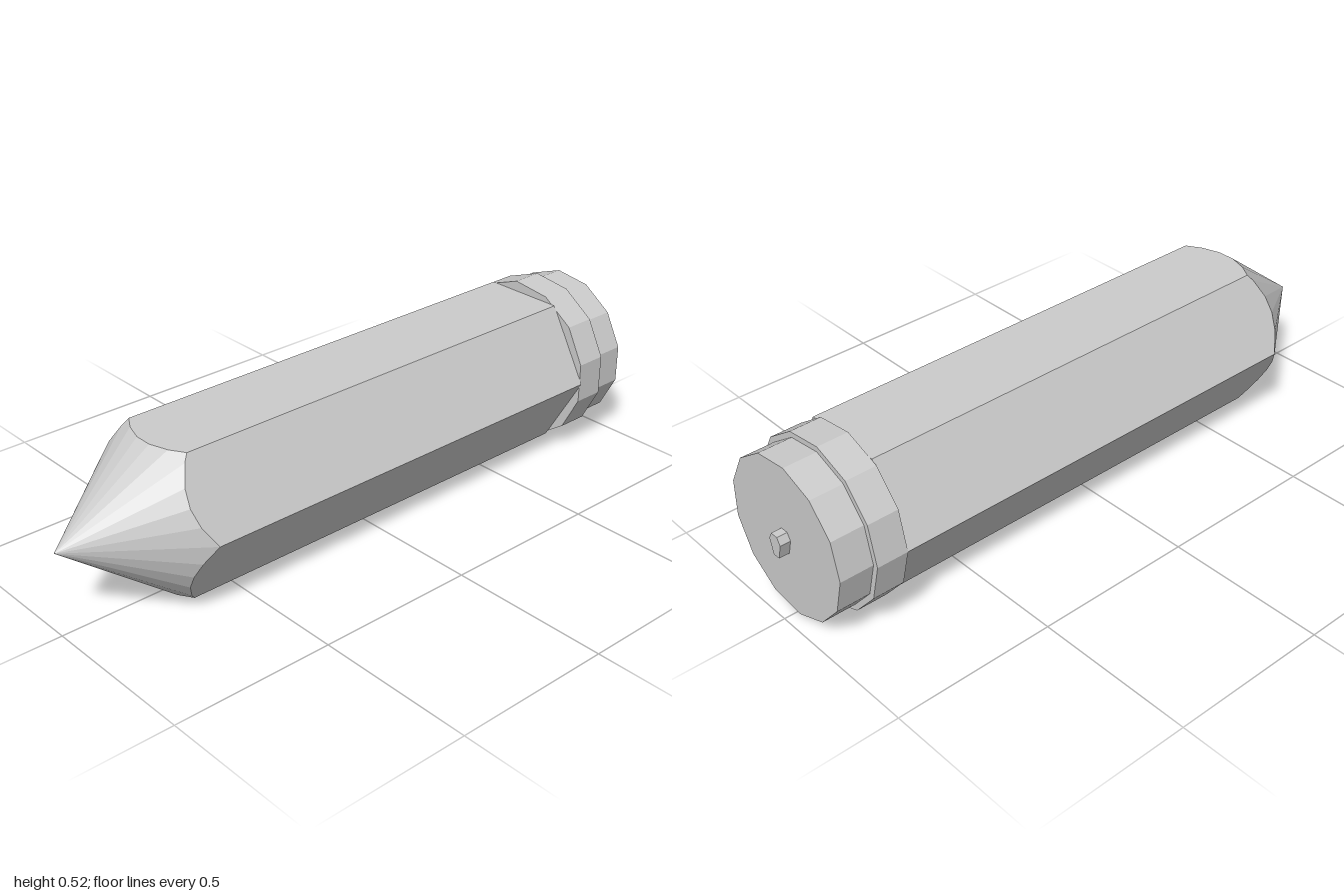
import * as THREE from 'three';

const R = 0.26, CY = 0.26;               // corner radius, axis height
const TIP = 1, CONE = 0.34, BACK = -0.766;
const material = new THREE.MeshStandardMaterial({ color: 0xcccccc, flatShading: true });

// radius of a regular polygon (corner at angle 0) in direction a
function polygonRadius(a, sides, r) {
  const step = (2 * Math.PI) / sides;
  const d = ((a % step) + step) % step - step / 2;
  return (r * Math.cos(step / 2)) / Math.cos(d);
}

// triangles from corner points, flat normals
function facets(name, points) {
  const geometry = new THREE.BufferGeometry().setFromPoints(points);
  geometry.computeVertexNormals();
  const mesh = new THREE.Mesh(geometry, material);
  mesh.name = name;
  mesh.position.y = CY;
  return mesh;
}

// 13-sided disc along z with a corner at -x
function disc(name, r, z0, z1) {
  const geometry = new THREE.CylinderGeometry(r, r, z1 - z0, 13, 1, false, -Math.PI / 2);
  geometry.rotateX(Math.PI / 2);
  const mesh = new THREE.Mesh(geometry, material);
  mesh.name = name;
  mesh.position.set(0, CY, (z0 + z1) / 2);
  return mesh;
}

export function createModel() {
  const group = new THREE.Group();
  group.name = 'pencil';

  // directions of the 26 cone edges plus the hexagon corners
  const angles = [];
  for (let i = 0; i < 26; i++) angles.push((i / 26) * 2 * Math.PI);
  for (const i of [1, 2, 4, 5]) angles.push((i * Math.PI) / 3);
  angles.sort((a, b) => a - b);

  // scalloped edge where the sharpened cone meets the hexagonal shaft
  const edge = angles.map((a) => {
    const r = polygonRadius(a, 6, R);
    const z = TIP - (CONE * r) / polygonRadius(a, 26, R);
    return new THREE.Vector3(r * Math.cos(a), r * Math.sin(a), z);
  });
  const apex = new THREE.Vector3(0, 0, TIP);
  const end = new THREE.Vector3(0, 0, BACK);
  const cone = [], shaft = [];
  edge.forEach((p, i) => {
    const q = edge[(i + 1) % edge.length];
    const pb = new THREE.Vector3(p.x, p.y, BACK);
    const qb = new THREE.Vector3(q.x, q.y, BACK);
    cone.push(apex, p, q);
    shaft.push(p, pb, qb, p, qb, q, end, qb, pb);
  });
  group.add(facets('sharpenedTip', cone), facets('hexagonalShaft', shaft));

  // ferrule and eraser
  group.add(disc('ferrule', R, -0.864, BACK));
  group.add(disc('eraser', 0.243, -0.968, -0.864));

  // small tapered peg on the back
  const outline = [[-0.012, -0.043], [0.012, -0.043], [0.025, 0.005], [0.013, 0.027], [-0.013, 0.027], [-0.025, 0.005]];
  const shape = new THREE.Shape(outline.map(([x, y]) => new THREE.Vector2(x, y)));
  const peg = new THREE.Mesh(new THREE.ExtrudeGeometry(shape, { depth: 0.034, bevelEnabled: false }), material);
  peg.name = 'backPeg';
  peg.position.set(0, CY, -1);
  group.add(peg);

  return group;
}
